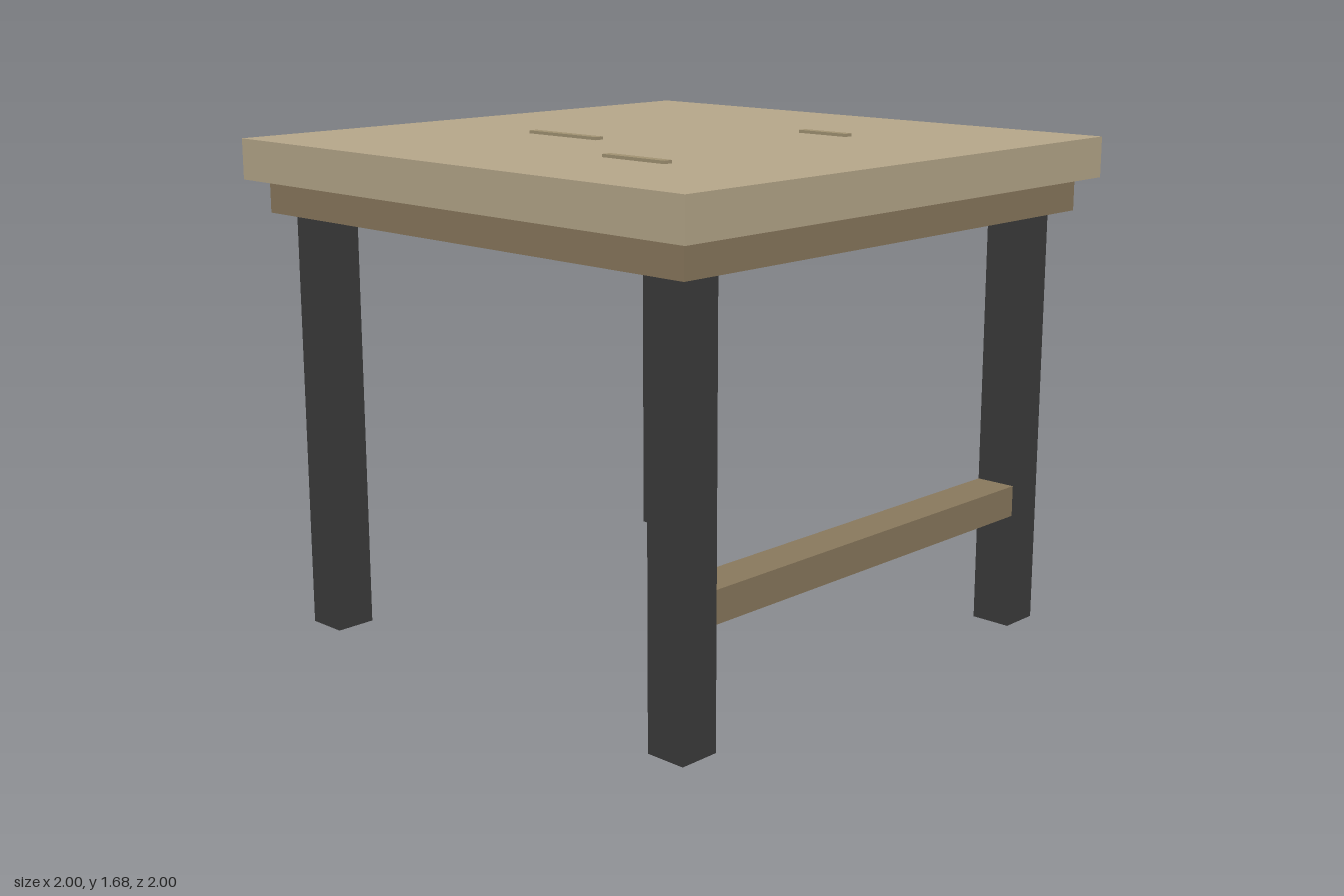
import * as THREE from 'three';

const material = (color) => new THREE.MeshStandardMaterial({ color });

export function createModel() {
  const table = new THREE.Group();
  table.name = 'table';

  const topWood = material(0xb8a98c);
  const frameWood = material(0x8b7a5e);
  const legPaint = material(0x3c3c3c);
  const markWood = material(0xa39474);

  // Box given by its size, its centre in x and z, and the height of its underside
  const addBox = (name, mat, [w, h, d], [x, bottom, z]) => {
    const mesh = new THREE.Mesh(new THREE.BoxGeometry(w, h, d), mat);
    mesh.position.set(x, bottom + h / 2, z);
    mesh.name = name;
    table.add(mesh);
  };

  // Thick top resting on a slightly smaller solid frame
  const legHeight = 1.425, frameHeight = 0.11, topHeight = 0.135;
  const topBottom = legHeight + frameHeight;
  addBox('tableTop', topWood, [2, topHeight, 2], [0, topBottom, 0]);
  addBox('frame', frameWood, [1.88, frameHeight, 1.88], [0, legHeight, 0]);

  // Four square legs
  const legSize = 0.14, legOffset = 0.81;
  for (const [zName, z] of [['front', 1], ['back', -1]]) {
    for (const [xName, x] of [['Left', 1], ['Right', -1]]) {
      addBox(`${zName}${xName}Leg`, legPaint, [legSize, legHeight, legSize],
        [x * legOffset, 0, z * legOffset]);
    }
  }

  // Stretcher between the two front legs
  addBox('frontStretcher', frameWood, [2 * legOffset - legSize, 0.105, legSize],
    [0, 0.395, legOffset]);

  // Thin raised strips on the top: x, z, length
  const strips = [[-0.545, 0.37, 0.26], [-0.225, -0.28, 0.32], [0.415, 0.3, 0.2]];
  strips.forEach(([x, z, length], i) => {
    addBox(`topStrip${i + 1}`, markWood, [0.032, 0.01, length],
      [x, topBottom + topHeight, z]);
  });

  return table;
}
